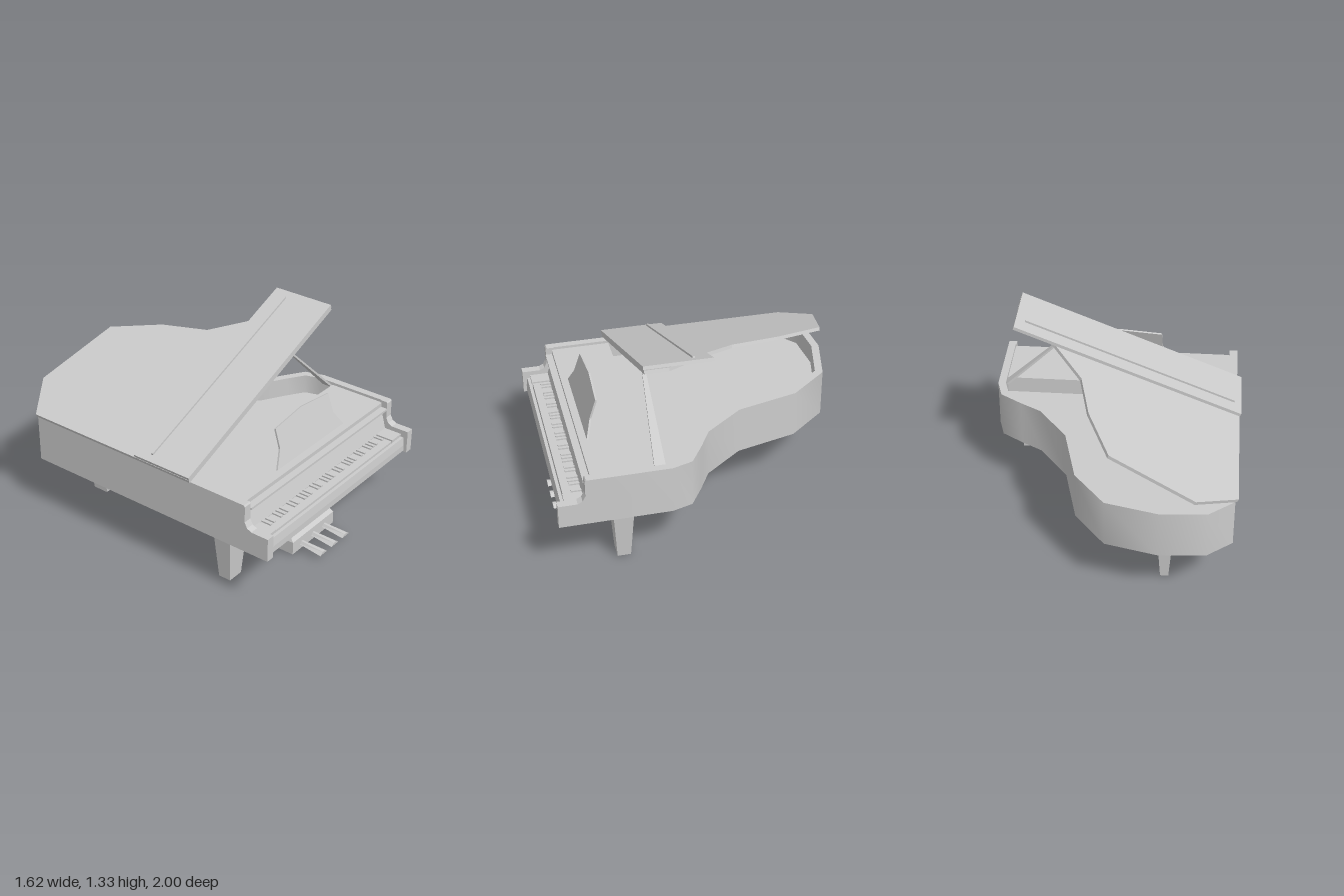
import * as THREE from 'three';
import { toCreasedNormals } from 'three/addons/utils/BufferGeometryUtils.js';

const grey = new THREE.MeshStandardMaterial({ color: 0xcccccc, side: THREE.DoubleSide });

function add(parent, name, geometry, x = 0, y = 0, z = 0) {
  const mesh = new THREE.Mesh(geometry, grey);
  mesh.name = name;
  mesh.position.set(x, y, z);
  parent.add(mesh);
  return mesh;
}

function extrude(points, depth) {
  const shape = new THREE.Shape(points.map(([a, b]) => new THREE.Vector2(a, b)));
  return new THREE.ExtrudeGeometry(shape, { depth, bevelEnabled: false });
}

// Plan outline of [x, z] points, raised from y0 to y1
const plan = (points, y0, y1) =>
  extrude(points.map(([x, z]) => [x, -z]), y1 - y0).rotateX(-Math.PI / 2).translate(0, y0, 0);

// Side profile of [z, y] points, running from x0 to x1
const profile = (points, x0, x1) =>
  extrude(points.map(([z, y]) => [-z, y]), x1 - x0).rotateY(Math.PI / 2).translate(x0, 0, 0);

const block = (parent, name, [x0, x1], [y0, y1], [z0, z1]) =>
  add(parent, name, new THREE.BoxGeometry(x1 - x0, y1 - y0, z1 - z0),
    (x0 + x1) / 2, (y0 + y1) / 2, (z0 + z1) / 2);

// Box whose bottom (or top) end is scaled
function taperBox(w, h, d, sx, sz, atTop = false) {
  const g = new THREE.BoxGeometry(w, h, d);
  const p = g.attributes.position;
  for (let i = 0; i < p.count; i++) {
    if ((p.getY(i) > 0) === atTop) {
      p.setX(i, p.getX(i) * sx);
      p.setZ(i, p.getZ(i) * sz);
    }
  }
  g.computeVertexNormals();
  return g;
}

// Inward offset of an open [x, z] path with mitred corners
function inset(path, t) {
  const normal = (a, b) => new THREE.Vector2(-(b[1] - a[1]), b[0] - a[0]).normalize();
  return path.map((p, i) => {
    const n1 = normal(path[Math.max(i - 1, 0)], path[Math.max(i, 1)]);
    const last = path.length - 1;
    const n2 = normal(path[Math.min(i, last - 1)], path[Math.min(i + 1, last)]);
    const m = n1.clone().add(n2).normalize();
    const k = t / m.dot(n1);
    return [p[0] + m.x * k, p[1] + m.y * k];
  });
}

export function createModel() {
  const piano = new THREE.Group();
  piano.name = 'grandPiano';

  // Curved case
  const outline = [
    [-0.78, 0.79], [-0.78, -0.83], [-0.62, -0.96], [-0.33, -0.98], [0, -0.9], [0.2, -0.65],
    [0.3, -0.25], [0.49, 0], [0.63, 0.08], [0.77, 0.17], [0.81, 0.3], [0.81, 0.79],
  ];
  const inner = inset(outline, 0.05);
  const rim = plan([...outline, ...inner.slice().reverse()], 0.38, 0.7);
  add(piano, 'rim', toCreasedNormals(rim, 0.75));
  const floorLine = inset(outline, 0.03);
  add(piano, 'caseBottom', plan(floorLine, 0.39, 0.42));
  add(piano, 'soundboard', plan(floorLine, 0.55, 0.57));

  // Cheeks either side of the keyboard
  const cheek = [
    [0.78, 0.38], [1, 0.38], [1, 0.535], [0.88, 0.535], [0.85, 0.55], [0.832, 0.585],
    [0.832, 0.69], [0.825, 0.7], [0.78, 0.7],
  ];
  add(piano, 'rightCheek', profile(cheek, -0.78, -0.725));
  add(piano, 'leftCheek', profile(cheek, 0.755, 0.81));

  // Keyboard area
  const span = [-0.73, 0.76];
  block(piano, 'topCover', span, [0.665, 0.682], [0.4, 0.79]);
  block(piano, 'coverBack', span, [0.56, 0.67], [0.4, 0.415]);
  add(piano, 'fallboard', profile(
    [[0.76, 0.42], [0.83, 0.42], [0.83, 0.5], [0.79, 0.64], [0.79, 0.682], [0.76, 0.682]], ...span));
  block(piano, 'fallboardRail', [-0.72, 0.75], [0.64, 0.655], [0.785, 0.835]);
  block(piano, 'keyBed', span, [0.385, 0.43], [0.76, 0.975]);
  block(piano, 'keys', [-0.63, 0.65], [0.42, 0.495], [0.82, 0.945]);
  for (const [x0, x1] of [[-0.73, -0.63], [0.65, 0.76]]) {
    block(piano, 'keyBlock', [x0, x1], [0.42, 0.505], [0.82, 0.95]);
  }
  add(piano, 'keySlip', profile(
    [[0.95, 0.39], [0.978, 0.39], [0.978, 0.43], [0.97, 0.485], [0.95, 0.485]], ...span));
  for (let i = 0; i < 36; i++) {
    if ([2, 6].includes(i % 7)) continue;
    const x = -0.6 + i * 0.035;
    block(piano, 'blackKey', [x - 0.009, x + 0.009], [0.49, 0.505], [0.825, 0.895]);
  }

  // Open lid with its front flap folded back
  const lid = new THREE.Group();
  lid.name = 'lid';
  lid.position.set(-0.79, 0.7, 0);
  lid.rotation.z = 0.384;
  piano.add(lid);
  add(lid, 'mainLid', plan([
    [0, 0.43], [1.56, 0.43], [1.56, 0.28], [1.27, 0.02], [1.07, -0.22], [0.99, -0.54],
    [0.83, -0.87], [0.27, -1], [0, -0.83],
  ], 0, 0.022));
  block(lid, 'lidFlap', [0, 1.56], [0.026, 0.047], [0.01, 0.435]);
  block(lid, 'flapStrip', [0.05, 1.5], [0.045, 0.06], [0.11, 0.125]);

  // Lid prop, tapering toward the lid
  const foot = new THREE.Vector3(0.752, 0.675, 0.365);
  const head = new THREE.Vector3(0.27, 1.13, 0.365);
  const prop = add(piano, 'lidProp',
    taperBox(0.014, foot.distanceTo(head), 0.07, 0.8, 0.25, true));
  prop.position.copy(foot).lerp(head, 0.5);
  prop.rotation.z = Math.atan2(foot.x - head.x, head.y - foot.y);

  // Music desk, leaning back
  const desk = add(piano, 'musicDesk', extrude([
    [-0.355, 0], [0.355, 0], [0.285, 0.11], [0.28, 0.24], [0, 0.268], [-0.28, 0.24], [-0.285, 0.11],
  ], 0.012), 0.018, 0.682, 0.732);
  desk.rotation.x = -0.32;

  // Legs with flared brackets
  function leg(name, x, z, turn, depth, footDepth) {
    const g = new THREE.Group();
    g.name = name;
    g.position.set(x, 0, z);
    g.rotation.y = turn;
    piano.add(g);
    add(g, 'legPost', taperBox(0.165, 0.31, depth, 0.67, footDepth / depth), 0, 0.155, 0);
    add(g, 'legBracket', taperBox(0.165, 0.08, 0.34, 1, depth / 0.34), 0, 0.35, 0);
  }
  leg('frontRightLeg', -0.6, 0.59, 0, 0.125, 0.085);
  leg('frontLeftLeg', 0.642, 0.59, 0, 0.125, 0.085);
  leg('rearLeg', -0.366, -0.682, Math.PI / 2, 0.095, 0.052);

  // Pedal lyre
  const lyre = new THREE.Group();
  lyre.name = 'pedalLyre';
  lyre.position.x = 0.018;
  piano.add(lyre);
  block(lyre, 'pedalBox', [-0.225, 0.225], [0.01, 0.098], [0.635, 0.785]);
  const cap = taperBox(0.45, 0.057, 0.15, 0.87, 0.6, true);
  const capPos = cap.attributes.position;
  for (let i = 0; i < capPos.count; i++) {
    if (capPos.getY(i) > 0) capPos.setZ(i, capPos.getZ(i) - 0.03);
  }
  cap.computeVertexNormals();
  add(lyre, 'pedalBoxCap', cap, 0, 0.1265, 0.71);
  for (const x of [-0.083, 0.083]) {
    const post = add(lyre, 'lyrePost', new THREE.CylinderGeometry(0.032, 0.032, 0.25, 16), x, 0.27, 0.698);
    post.scale.z = 0.65;
  }

  // Pedals: ridged bars that widen toward the toe
  for (const x of [-0.125, 0, 0.122]) {
    const g = extrude([[-0.038, 0], [0.038, 0], [0.012, 0.018], [-0.012, 0.018]], 0.19);
    const p = g.attributes.position;
    for (let i = 0; i < p.count; i++) {
      if (p.getZ(i) < 0.1) p.setX(i, p.getX(i) * 0.55);
    }
    g.computeVertexNormals();
    const pedal = add(lyre, 'pedal', g, x, 0.045, 0.762);
    pedal.rotation.x = 0.05;
  }

  return piano;
}
